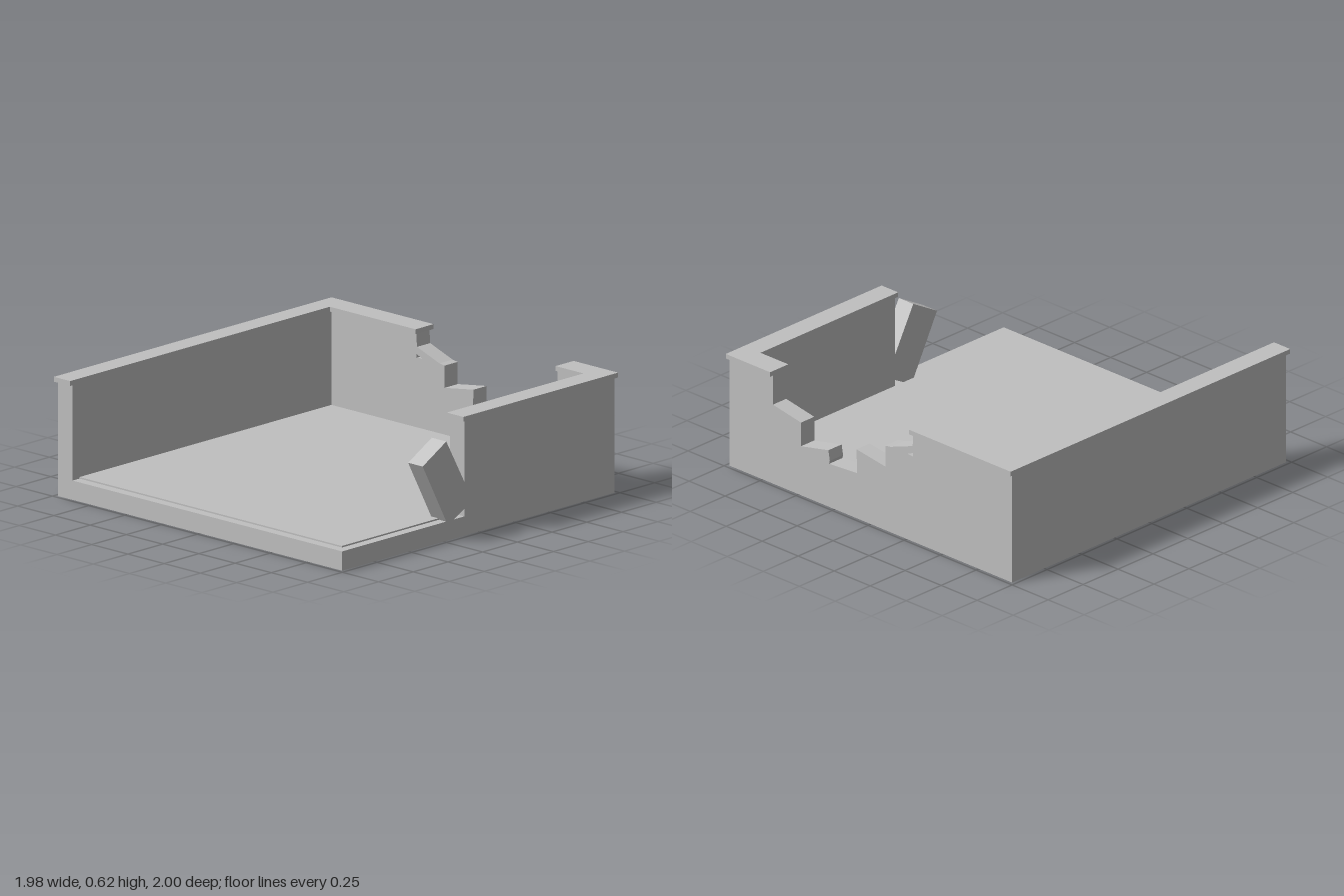
import * as THREE from 'three';

const stone = new THREE.MeshStandardMaterial({ color: 0xc0c0c0 });
stone.name = 'grey stone';

export function createModel() {
  const model = new THREE.Group();
  model.name = 'ruinedRoom';

  const add = (name, geometry, x = 0, y = 0, z = 0) => {
    const mesh = new THREE.Mesh(geometry, stone);
    mesh.name = name;
    mesh.position.set(x, y, z);
    model.add(mesh);
  };

  // Box given by its lower and upper corners
  const block = (name, x0, x1, y0, y1, z0, z1) =>
    add(name, new THREE.BoxGeometry(x1 - x0, y1 - y0, z1 - z0),
      (x0 + x1) / 2, (y0 + y1) / 2, (z0 + z1) / 2);

  const outline = (points) => new THREE.Shape(points.map(([a, b]) => new THREE.Vector2(a, b)));
  const extrude = (shape, depth) =>
    new THREE.ExtrudeGeometry(shape, { depth, bevelEnabled: false });

  // Slab with an outline in plan, given as [x, z]
  const slab = (name, points, y0, y1) =>
    add(name, extrude(outline(points.map(([x, z]) => [x, -z])), y1 - y0).rotateX(-Math.PI / 2), 0, y0, 0);

  // Foundation and the slightly raised floor
  block('foundation', -0.98, 0.98, 0, 0.1, -0.98, 0.98);
  block('floor', -0.88, 0.93, 0.1, 0.108, -0.885, 0.93);

  // Side walls; the right one is broken off halfway
  block('leftWall', -0.98, -0.88, 0.1, 0.597, -0.98, 0.98);
  block('rightWall', 0.88, 0.98, 0.1, 0.597, -0.98, 0.1);

  // Back wall with a collapsed, stepped gap
  const back = outline([
    [-0.88, 0.1], [0.88, 0.1], [0.88, 0.597], [0.68, 0.597],
    [0.68, 0.435], [0.485, 0.4], [0.485, 0.27], [0.295, 0.31],
    [0.285, 0.255], [0.29, 0.237], [0.095, 0.25], [0.1, 0.38],
    [-0.1, 0.35], [-0.1, 0.465], [-0.135, 0.47], [-0.29, 0.525],
    [-0.295, 0.597], [-0.88, 0.597],
  ]);
  // Small chink under the loose top block
  back.holes.push(new THREE.Path([
    new THREE.Vector2(-0.292, 0.487), new THREE.Vector2(-0.255, 0.472),
    new THREE.Vector2(-0.292, 0.468),
  ]));
  add('backWall', extrude(back, 0.095), 0, 0, -0.98);

  // Overhanging copings along the wall tops
  slab('leftCoping', [
    [-0.99, 1], [-0.877, 1], [-0.877, -0.87], [-0.285, -0.87], [-0.285, -1], [-0.99, -1],
  ], 0.595, 0.62);
  slab('rightCoping', [
    [0.873, 0.115], [0.988, 0.115], [0.988, -1], [0.68, -1], [0.68, -0.87], [0.873, -0.87],
  ], 0.595, 0.62);

  // Fallen block leaning on the broken end of the right wall, outline as [z, y]
  const leaning = outline([
    [0.23, 0.1], [0.4, 0.42], [0.23, 0.515], [0.1, 0.28], [0.1, 0.14], [0.175, 0.1],
  ]);
  add('leaningBlock', extrude(leaning, 0.1).rotateY(-Math.PI / 2), 0.98, 0, 0);

  // Broken stone lying on the floor
  slab('rubble', [
    [0.265, -0.495], [0.41, -0.635], [0.395, -0.665], [0.375, -0.68], [0.37, -0.71],
    [0.345, -0.735], [0.315, -0.79], [0.295, -0.78], [0.27, -0.81], [0.205, -0.76],
    [0.212, -0.742], [0.185, -0.72], [0.203, -0.675], [0.185, -0.645], [0.24, -0.595],
    [0.205, -0.555],
  ], 0.1, 0.16);

  return model;
}
